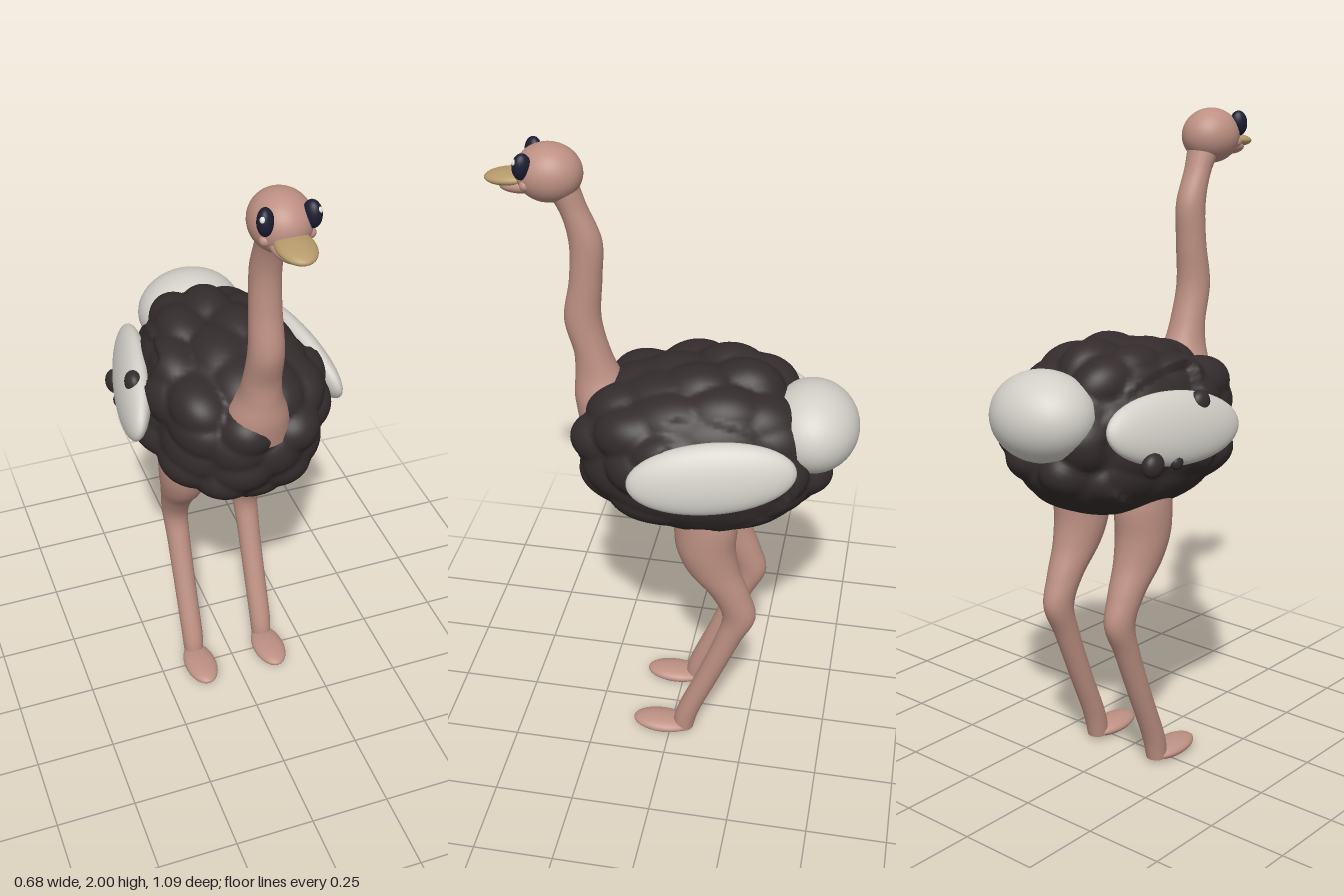
import * as THREE from 'three';
import { mergeVertices } from 'three/addons/utils/BufferGeometryUtils.js';

const paint = (name, color) => {
  const m = new THREE.MeshStandardMaterial({ color });
  m.name = name;
  return m;
};

export function createModel() {
  const model = new THREE.Group();
  model.name = 'ostrich';
  const skin = paint('pink skin', 0xbd9083);
  const dark = paint('dark plumage', 0x342c2c);
  const white = paint('white plumage', 0xd2cfc8);
  const horn = paint('horn beak', 0xb59a6a);
  const eyeDark = paint('eye', 0x1b1c30);
  const glintWhite = paint('eye glint', 0xf0f0f0);

  const add = (name, geometry, material, parent = model) => {
    const mesh = new THREE.Mesh(geometry, material);
    mesh.name = name;
    parent.add(mesh);
    return mesh;
  };
  const ellipsoid = (name, material, pos, radii, rot = [0, 0, 0], parent = model) => {
    const mesh = add(name, new THREE.SphereGeometry(1, 36, 24), material, parent);
    mesh.position.set(...pos);
    mesh.scale.set(...radii);
    mesh.rotation.set(...rot);
    return mesh;
  };

  // Smooth limb through level rings [y, z, radiusX, radiusZ], listed upwards
  const limb = (rings, steps = 48, sides = 24) => {
    const path = new THREE.CatmullRomCurve3(rings.map(r => new THREE.Vector3(0, r[0], r[1])));
    const size = new THREE.CatmullRomCurve3(rings.map(r => new THREE.Vector3(r[2], 0, r[3])), false, 'catmullrom');
    const pos = [], index = [];
    for (let i = 0; i <= steps; i++) {
      const c = path.getPoint(i / steps), s = size.getPoint(i / steps);
      for (let j = 0; j < sides; j++) {
        const a = (j / sides) * Math.PI * 2;
        pos.push(Math.cos(a) * s.x, c.y, c.z + Math.sin(a) * s.z);
        if (i === steps) continue;
        const p = i * sides + j, q = i * sides + (j + 1) % sides;
        index.push(p, p + sides, q, q, p + sides, q + sides);
      }
    }
    const g = new THREE.BufferGeometry();
    g.setAttribute('position', new THREE.Float32BufferAttribute(pos, 3));
    g.setIndex(index);
    g.computeVertexNormals();
    return g;
  };

  // Body: boxy egg with rounded feather lumps, smoother on the belly and under the wings
  const lumps = [];
  for (let i = 0; i < 64; i++) {
    const y = 1 - (2 * (i + 0.5)) / 64, r = Math.sqrt(1 - y * y), a = i * 2.39996 + 0.25 * Math.sin(i * 5.1);
    lumps.push(new THREE.Vector3(r * Math.cos(a), y, r * Math.sin(a)));
  }
  let bodyGeo = new THREE.IcosahedronGeometry(1, 28);
  bodyGeo.deleteAttribute('uv');
  bodyGeo.deleteAttribute('normal');
  bodyGeo = mergeVertices(bodyGeo, 1e-5);
  const bp = bodyGeo.attributes.position, n = new THREE.Vector3();
  for (let i = 0; i < bp.count; i++) {
    n.fromBufferAttribute(bp, i).normalize();
    let bump = 0;
    lumps.forEach((c, k) => {
      const d = n.distanceTo(c) / 0.31;
      bump = Math.max(bump, (0.75 + 0.35 * Math.sin(k * 3.7)) * (1 - d * d));
    });
    let amp = 0.045 * THREE.MathUtils.smoothstep(n.y, -0.95, -0.1);
    if (Math.abs(n.x) > 0.7 && n.z < 0.15) amp *= 0.45;
    const p = 2.35;
    const box = (Math.abs(n.x) ** p + Math.abs(n.y) ** p + Math.abs(n.z) ** p) ** (-1 / p);
    const taper = 1 - 0.14 * Math.max(0, -n.z);
    const sag = n.z > 0 && n.y > 0 ? 1 - 0.1 * n.z : 1;
    bp.setXYZ(i,
      n.x * (0.262 * box * taper + amp * bump),
      1.085 + n.y * (0.25 * box * sag + amp * bump),
      -0.075 + n.z * (0.362 * box + amp * bump));
  }
  bodyGeo.computeVertexNormals();
  add('body', bodyGeo, dark);

  // Tail puff
  ellipsoid('tail', white, [0, 1.18, -0.405], [0.165, 0.132, 0.14], [-0.2, 0, 0]);

  // Neck and head
  add('neck', limb([
    [1.14, 0.2, 0.105, 0.1], [1.22, 0.218, 0.09, 0.093], [1.29, 0.238, 0.064, 0.07],
    [1.36, 0.254, 0.055, 0.055], [1.47, 0.28, 0.051, 0.055], [1.6, 0.267, 0.046, 0.048],
    [1.72, 0.264, 0.044, 0.048], [1.82, 0.298, 0.043, 0.042], [1.89, 0.335, 0.055, 0.055],
  ], 64), skin);
  ellipsoid('head', skin, [0, 1.917, 0.36], [0.085, 0.083, 0.096]);
  ellipsoid('jaw', skin, [0, 1.883, 0.425], [0.053, 0.027, 0.08], [0.1, 0, 0]);
  ellipsoid('beak', horn, [0, 1.898, 0.468], [0.052, 0.021, 0.077], [0.08, 0, 0]);

  for (const s of [1, -1]) {
    const side = s > 0 ? 'left' : 'right';

    // Eye, glint and cheek
    ellipsoid(side + 'Eye', eyeDark, [s * 0.062, 1.953, 0.418], [0.022, 0.038, 0.027], [-0.1, s * 0.6, 0]);
    ellipsoid(side + 'EyeGlint', glintWhite, [s * 0.074, 1.967, 0.432], [0.008, 0.011, 0.008]);
    ellipsoid(side + 'Cheek', skin, [s * 0.06, 1.898, 0.412], [0.016, 0.016, 0.016]);

    // Wing
    ellipsoid(side + 'Wing', white, [s * 0.27, 1.138, -0.147], [0.05, 0.108, 0.245], [0.09, s * 0.19, s * 0.24]);

    // Leg and foot
    const leg = new THREE.Group();
    leg.name = side + 'Leg';
    leg.position.x = s * 0.124;
    model.add(leg);
    add('legShaft', limb([
      [0.015, -0.042, 0.032, 0.034], [0.08, -0.055, 0.035, 0.037], [0.25, -0.122, 0.036, 0.038],
      [0.42, -0.187, 0.038, 0.042], [0.52, -0.22, 0.043, 0.053], [0.61, -0.188, 0.053, 0.062],
      [0.7, -0.135, 0.068, 0.082], [0.78, -0.112, 0.078, 0.092], [0.88, -0.11, 0.079, 0.098],
      [0.97, -0.1, 0.07, 0.09],
    ], 60), skin, leg);
    ellipsoid('foot', skin, [0, 0.025, 0.028], [0.053, 0.024, 0.097], [-0.03, 0, 0], leg);
  }

  // Dark feather tufts overlapping the wings
  const tufts = [
    [-0.288, 1.2, -0.055, 0.036], [-0.292, 1.058, -0.27, 0.038],
    [-0.305, 1.05, -0.18, 0.022], [0.305, 1.1, -0.06, 0.034],
  ];
  for (const [x, y, z, r] of tufts) ellipsoid('featherTuft', dark, [x, y, z], [r * 0.75, r, r]);

  return model;
}
